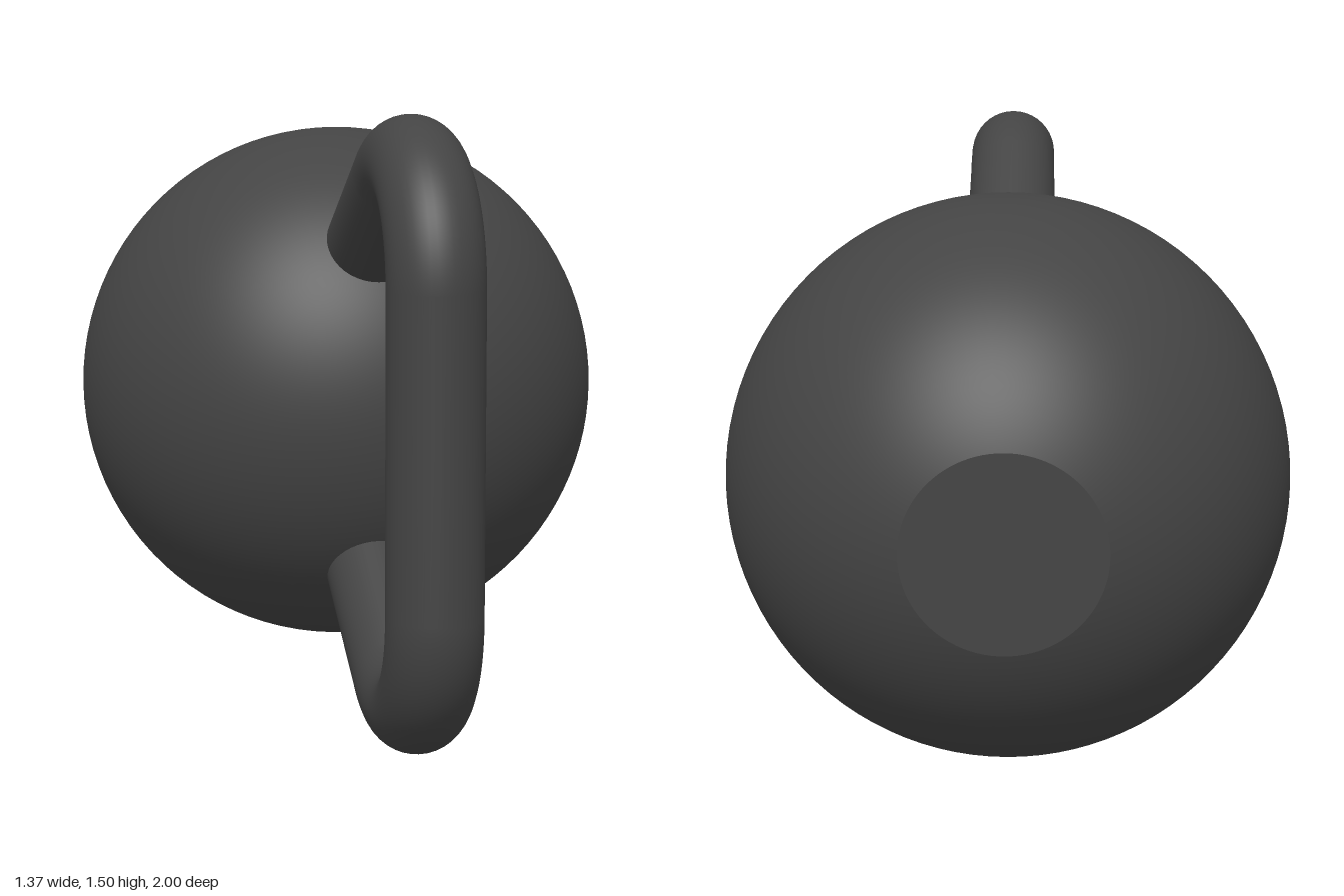
import * as THREE from 'three';

export function createModel() {
  const model = new THREE.Group();
  model.name = 'kettlebell';
  const iron = new THREE.MeshStandardMaterial({ color: 0x444444 });
  iron.name = 'dark iron';

  const add = (parent, name, geometry, x = 0, y = 0, z = 0) => {
    const mesh = new THREE.Mesh(geometry, iron);
    mesh.name = name;
    mesh.position.set(x, y, z);
    parent.add(mesh);
    return mesh;
  };

  const midY = 0.749;

  // Ball, cut flat at the base
  const R = 0.683, ballZ = -0.358, flatDist = 0.642;
  const cut = Math.acos(-flatDist / R);
  add(model, 'ball', new THREE.SphereGeometry(R, 96, 64, 0, Math.PI * 2, 0, cut).rotateX(Math.PI / 2), 0, midY, ballZ);
  add(model, 'flatBase', new THREE.CircleGeometry(R * Math.sin(cut), 96).rotateY(Math.PI), 0, midY, ballZ - flatDist);

  // Handle: straight grip, then a bend and a sloping leg on each end
  const r = 0.112, bendR = 0.268, bendY = 0.368, bendZ = 0.62;
  const slope = Math.PI / 6, legLength = 0.6;
  const handle = new THREE.Group();
  handle.name = 'handle';
  handle.position.y = midY;
  model.add(handle);
  add(handle, 'grip', new THREE.CylinderGeometry(r, r, bendY * 2, 40, 1, true), 0, 0, bendZ + bendR);

  for (const end of ['upper', 'lower']) {
    const half = new THREE.Group();
    half.name = end + 'Arm';
    if (end === 'lower') half.rotation.z = Math.PI;
    handle.add(half);

    const bend = new THREE.TorusGeometry(bendR, r, 40, 40, Math.PI / 2 + slope).rotateY(-Math.PI / 2);
    add(half, end + 'Bend', bend, 0, bendY, bendZ);

    // Leg widens slightly where it enters the ball
    const leg = new THREE.CylinderGeometry(r, 0.121, legLength, 40, 1, true)
      .translate(0, -legLength / 2, 0)
      .rotateX(Math.PI / 2 - slope);
    add(half, end + 'Leg', leg, 0, bendY + bendR * Math.cos(slope), bendZ - bendR * Math.sin(slope));
  }
  return model;
}
